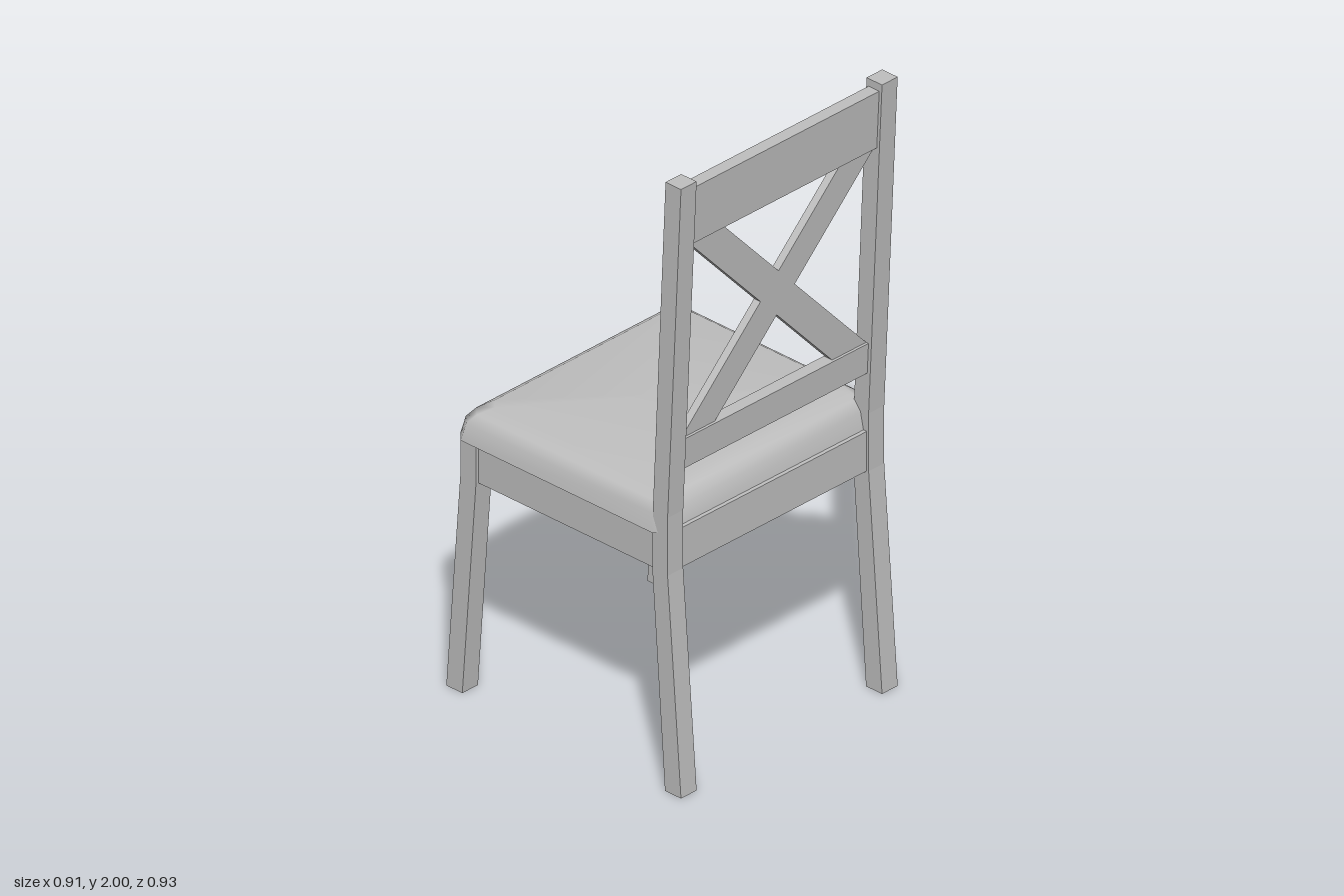
import * as THREE from 'three';

const BEND = 0.9, TOP = 2;
// backward lean of the back frame at height y
const lean = (y) => 0.055 * Math.max(0, y - BEND) / (TOP - BEND);

export function createModel() {
  const grey = new THREE.MeshStandardMaterial({ color: 0xc0c0c0 });
  grey.name = 'grey';
  const chair = new THREE.Group();
  chair.name = 'chair';

  const add = (name, geometry) => {
    const mesh = new THREE.Mesh(geometry, grey);
    mesh.name = name;
    chair.add(mesh);
    return mesh;
  };
  const extrude = (points, depth) => new THREE.ExtrudeGeometry(
    new THREE.Shape(points.map(([x, y]) => new THREE.Vector2(x, y))),
    { depth, bevelEnabled: false });

  // legs: side profiles (z, y) extruded across x
  const backLeg = [[0.4, 0], [0.463, 0], [0.41, 0.71], [0.41, BEND], [0.463, TOP], [0.402, TOP], [0.352, BEND], [0.35, 0.71]];
  const frontLeg = [[-0.463, 0], [-0.4, 0], [-0.346, 0.71], [-0.346, 0.84], [-0.408, 0.84], [-0.408, 0.71]];
  const legWidth = 0.064;
  for (const [side, x] of [['left', 0.444], ['right', -0.38]]) {
    for (const [name, profile] of [['BackLeg', backLeg], ['FrontLeg', frontLeg]]) {
      add(side + name, extrude(profile, legWidth).rotateY(-Math.PI / 2).translate(x, 0, 0));
    }
  }

  // aprons under the seat
  const box = (w, h, d, x, y, z) => new THREE.BoxGeometry(w, h, d).translate(x, y, z);
  add('backApron', box(0.76, 0.13, 0.045, 0, 0.773, 0.38));
  add('frontApron', box(0.76, 0.13, 0.045, 0, 0.773, -0.377));
  for (const [name, x] of [['leftApron', 0.412], ['rightApron', -0.412]]) {
    add(name, box(0.045, 0.13, 0.7, x, 0.773, 0));
  }

  // back frame: flat outlines (x, y) sheared to follow the leaning legs
  const leaning = (name, points, depth, z) => {
    const geometry = extrude(points, depth).translate(0, 0, z);
    const p = geometry.attributes.position;
    for (let i = 0; i < p.count; i++) p.setZ(i, p.getZ(i) + lean(p.getY(i)));
    geometry.computeVertexNormals();
    add(name, geometry);
  };
  const rail = (y0, y1) => [[-0.38, y0], [0.38, y0], [0.38, y1], [-0.38, y1]];
  leaning('topRail', rail(1.785, 1.975), 0.042, 0.356);
  leaning('lowerRail', rail(1.03, 1.13), 0.042, 0.356);
  leaning('crossBarFalling', [[-0.38, 1.785], [0.24, 1.13], [0.38, 1.13], [-0.24, 1.785]], 0.026, 0.363);
  leaning('crossBarRising', [[-0.38, 1.13], [-0.24, 1.13], [0.38, 1.785], [0.24, 1.785]], 0.026, 0.363);

  add('seatCushion', cushion());
  return chair;
}

// seat pad: chamfered rectangles stacked in rings, smooth above, flat below
function cushion() {
  const rings = [ // half width, half depth, corner, y
    [0.455, 0.408, 0.03, 0.836],
    [0.445, 0.396, 0.03, 0.893],
    [0.425, 0.373, 0.03, 0.922],
    [0.39, 0.336, 0.03, 0.946],
  ];
  const zc = -0.018, n = 8, pos = [], index = [];
  const ring = ([w, d, c, y]) => {
    const outline = [[w, -d + c], [w, d - c], [w - c, d], [c - w, d], [-w, d - c], [-w, c - d], [c - w, -d], [w - c, -d]];
    for (const [x, z] of outline) pos.push(x, y, z + zc);
  };
  rings.forEach(ring);
  for (let r = 0; r < rings.length - 1; r++) {
    for (let i = 0; i < n; i++) {
      const a = r * n + i, b = r * n + (i + 1) % n;
      index.push(a, a + n, b, b, a + n, b + n);
    }
  }
  // top and underside
  const topStart = (rings.length - 1) * n, topCentre = pos.length / 3;
  pos.push(0, 0.95, zc);
  const baseStart = topCentre + 1;
  ring(rings[0]);
  const baseCentre = pos.length / 3;
  pos.push(0, rings[0][3], zc);
  for (let i = 0; i < n; i++) {
    const j = (i + 1) % n;
    index.push(topCentre, topStart + j, topStart + i, baseCentre, baseStart + i, baseStart + j);
  }
  const geometry = new THREE.BufferGeometry();
  geometry.setAttribute('position', new THREE.Float32BufferAttribute(pos, 3));
  geometry.setIndex(index);
  geometry.computeVertexNormals();
  return geometry;
}
